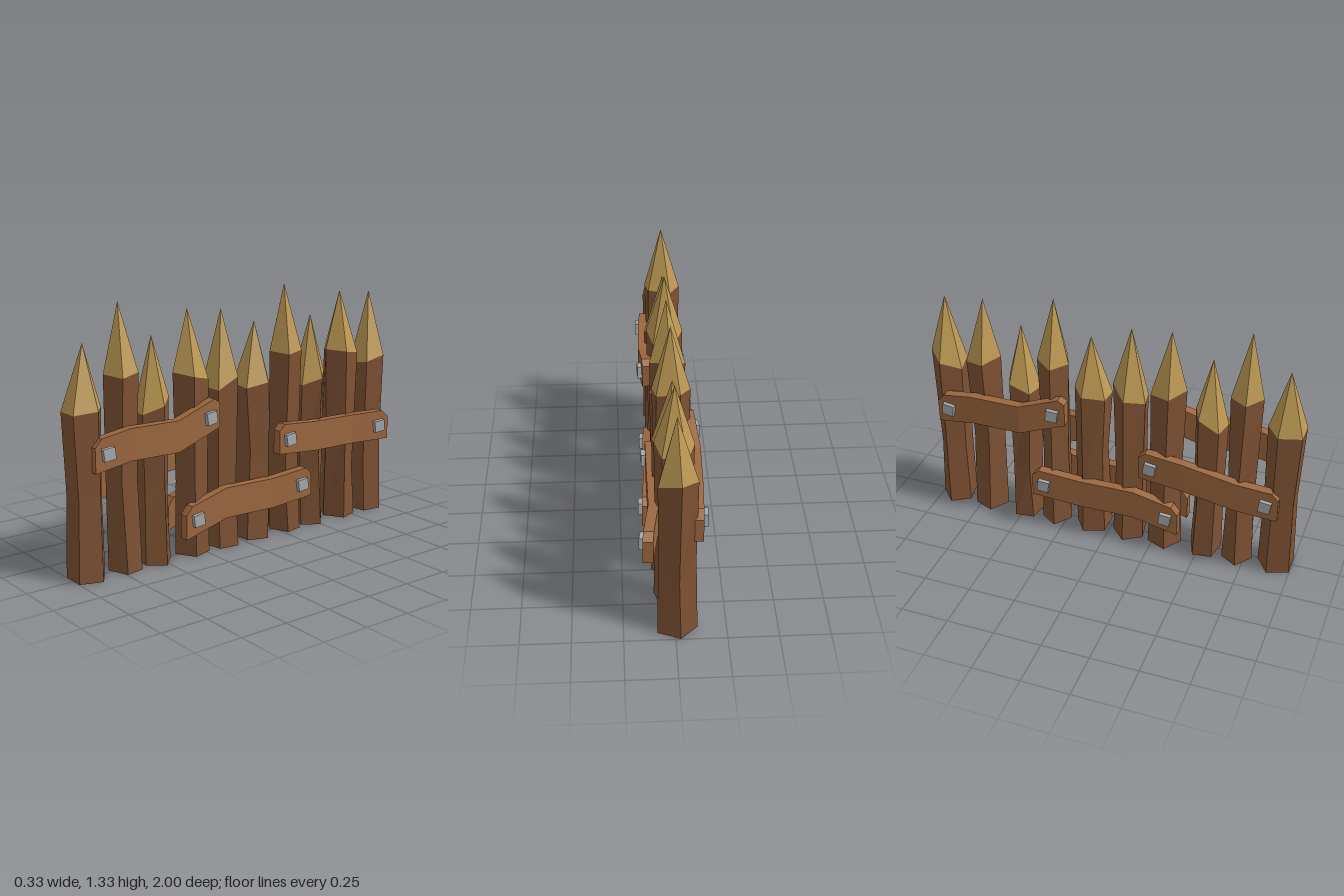
import * as THREE from 'three';

// Small seeded generator for the hand-hewn irregularity
let seed = 7;
const rand = () => (seed = (seed * 16807) % 2147483647) / 2147483647;
const jitter = (a) => (rand() - 0.5) * 2 * a;
const { lerp, degToRad } = THREE.MathUtils;

const flat = (color, name) => {
  const m = new THREE.MeshStandardMaterial({ color });
  m.name = name;
  return m;
};

// Faceted geometry from a list of triangles (each three Vector3)
function facets(tris) {
  const g = new THREE.BufferGeometry().setFromPoints(tris.flat());
  g.computeVertexNormals();
  return g;
}

// Triangles joining successive rings, each ring counterclockwise along the travel
function loft(rings) {
  const tris = [];
  for (let i = 0; i < rings.length - 1; i++) {
    const p = rings[i], q = rings[i + 1], n = p.length;
    for (let j = 0; j < n; j++) {
      const k = (j + 1) % n;
      tris.push([p[j], p[k], q[k]], [p[j], q[k], q[j]]);
    }
  }
  return tris;
}

// Fan covering a ring; reversed for the starting end
function cap(ring, reversed) {
  const tris = [];
  for (let j = 1; j < ring.length - 1; j++) {
    tris.push(reversed ? [ring[0], ring[j + 1], ring[j]] : [ring[0], ring[j], ring[j + 1]]);
  }
  return tris;
}

// Five-sided ring of a given z width, its height tilted from the +z side to the -z side
function postRing(phase, zMid, width, yFront, yBack, radius, wobble) {
  const pts = [];
  for (let i = 0; i < 5; i++) {
    const a = phase + (i * Math.PI * 2) / 5;
    pts.push(new THREE.Vector3(Math.cos(a) * radius - 0.005, 0, -Math.sin(a)));
  }
  const zs = pts.map((p) => p.z);
  const lo = Math.min(...zs), hi = Math.max(...zs);
  for (const p of pts) {
    const t = (p.z - lo) / (hi - lo);
    p.z = zMid + (t - 0.5) * width;
    p.y = lerp(yBack, yFront, t) + jitter(wobble);
  }
  return pts;
}

// Height and outer distance of a plank at z, between its knots [z, middle y, outer |x|]
function plankAt(knots, z) {
  let i = 0;
  while (i < knots.length - 2 && z > knots[i + 1][0]) i++;
  const [a, b] = [knots[i], knots[i + 1]];
  const t = (z - a[0]) / (b[0] - a[0]);
  return {
    z, y: lerp(a[1], b[1], t), out: lerp(a[2], b[2], t),
    slope: (b[2] - a[2]) / (b[0] - a[0]),
  };
}

export function createModel() {
  const bark = flat(0x7f5234, 'dark post wood');
  const cut = flat(0xbe9a54, 'pale cut wood');
  const plank = flat(0x9c673f, 'plank wood');
  const iron = flat(0xa6abad, 'iron');
  const model = new THREE.Group();
  model.name = 'palisade';

  const add = (parent, geometry, material, name) => {
    const mesh = new THREE.Mesh(geometry, material);
    mesh.name = name;
    parent.add(mesh);
    return mesh;
  };

  // Five post types, used twice: tip y, shoulder y on the +z and -z sides, width, phase in degrees
  const types = [
    [1.155, 0.825, 0.84, 0.185, 18],
    [1.33, 0.98, 0.985, 0.16, 45],
    [1.15, 0.775, 0.85, 0.168, 6],
    [1.26, 0.94, 0.91, 0.175, 52],
    [1.24, 0.84, 0.91, 0.18, 29],
  ];
  const postZ = [0.9075, 0.71, 0.525, 0.312, 0.105, -0.108, -0.306, -0.488, -0.695, -0.91];
  postZ.forEach((z, i) => {
    const [tipY, yFront, yBack, width, degrees] = types[i % 5];
    const post = new THREE.Group();
    post.name = `post${i + 1}`;
    model.add(post);
    const phase = degToRad(degrees);
    // Shaft with a twisted, uneven waist
    const foot = postRing(phase, z, width * 0.97, 0, 0, 0.105, 0);
    const waist = postRing(phase + jitter(0.25), z + jitter(0.008), width * 0.88, 0.38, 0.38, 0.095, 0.12);
    const shoulder = postRing(phase, z, width, yFront, yBack, 0.1, 0.012);
    add(post, facets([...loft([foot, waist, shoulder]), ...cap(foot, true)]), bark, 'postShaft');
    const tip = new THREE.Vector3(-0.005, tipY, z);
    add(post, facets(shoulder.map((p, j) => [p, shoulder[(j + 1) % 5], tip])), cut, 'sharpenedTip');
  });

  // Bent plank along z with clipped upper corners and a nail near each end
  function addPlank(name, side, knots) {
    const group = new THREE.Group();
    group.name = name;
    model.add(group);
    const start = knots[0][0], end = knots[knots.length - 1][0];
    const stations = [start, start + 0.035, knots[1][0], knots[2][0], end - 0.035, end];
    const rings = stations.map((s) => {
      const { z, y, out } = plankAt(knots, s);
      const x0 = side > 0 ? out - 0.05 : -out;
      const x1 = x0 + 0.05;
      const top = y + (s === start || s === end ? 0.045 : 0.08);
      return [[x0, y - 0.08], [x1, y - 0.08], [x1, top], [x0, top]]
        .map(([px, py]) => new THREE.Vector3(px, py, z));
    });
    const ends = [...cap(rings[0], true), ...cap(rings[rings.length - 1], false)];
    add(group, facets([...loft(rings), ...ends]), plank, 'plankBoard');
    for (const s of [start + 0.065, end - 0.065]) {
      const { z, y, out, slope } = plankAt(knots, s);
      const nail = add(group, new THREE.BoxGeometry(0.035, 0.062, 0.062), iron, 'nailHead');
      nail.position.set(side * (out + 0.004), y, z);
      nail.rotation.set(0.13, side * Math.atan(slope), 0);
    }
  }

  addPlank('leftFrontPlank', 1,
    [[0.20, 0.745, 0.115], [0.46, 0.66, 0.13], [0.73, 0.663, 0.122], [0.92, 0.628, 0.108]]);
  addPlank('leftRearPlank', 1,
    [[-0.93, 0.51, 0.153], [-0.70, 0.51, 0.118], [-0.43, 0.515, 0.118], [-0.185, 0.535, 0.118]]);
  addPlank('leftLowPlank', 1,
    [[-0.385, 0.28, 0.14], [-0.14, 0.255, 0.125], [0.16, 0.26, 0.12], [0.405, 0.188, 0.108]]);
  addPlank('rightRearPlank', -1,
    [[-0.93, 0.632, 0.13], [-0.73, 0.662, 0.138], [-0.46, 0.665, 0.145], [-0.215, 0.748, 0.12]]);
  addPlank('rightFrontPlank', -1,
    [[0.185, 0.522, 0.12], [0.42, 0.498, 0.125], [0.70, 0.445, 0.122], [0.92, 0.428, 0.118]]);
  addPlank('rightLowPlank', -1,
    [[-0.40, 0.285, 0.14], [-0.14, 0.258, 0.125], [0.16, 0.258, 0.12], [0.40, 0.195, 0.11]]);
  return model;
}
